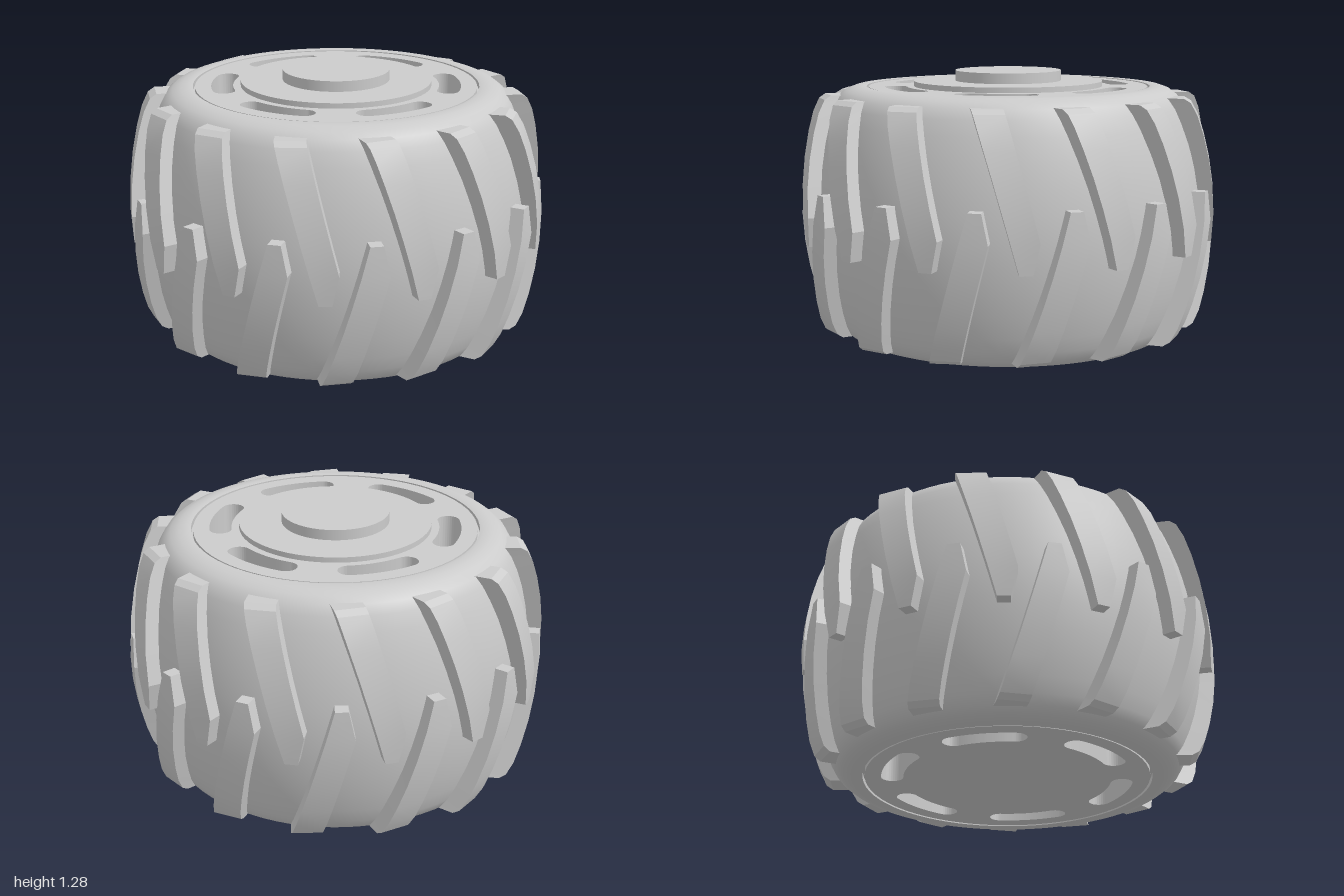
import * as THREE from 'three';
import { toCreasedNormals } from 'three/addons/utils/BufferGeometryUtils.js';

const HEIGHT = 1.21;
const LUGS = 14;
const material = new THREE.MeshStandardMaterial({ color: 0xcccccc });

function addMesh(parent, name, geometry) {
  const mesh = new THREE.Mesh(geometry, material);
  mesh.name = name;
  parent.add(mesh);
  return mesh;
}

// Upper half of the tyre wall, from the rim seat to the equator: [radius, y]
const wall = [
  [0.668, 1.18], [0.682, 1.18], [0.682, 1.207], [0.70, 1.21], [0.74, 1.206], [0.78, 1.192],
  [0.815, 1.165], [0.84, 1.12], [0.865, 1.05], [0.893, 0.95], [0.916, 0.83], [0.93, 0.71], [0.934, 0.605],
];

function tyreGeometry() {
  const lower = wall.map(([r, y]) => new THREE.Vector2(r, HEIGHT - y));
  const upper = wall.slice(0, -1).reverse().map(([r, y]) => new THREE.Vector2(r, y));
  return toCreasedNormals(new THREE.LatheGeometry([...lower, ...upper], 72), 0.7);
}

// Lug sections from its inner end to the shoulder: [y, left x, right x, outer z, root z]
const lugRows = [
  [0.47, -0.040, 0.020, 0.990, 0.89],
  [0.61, -0.079, 0.050, 0.998, 0.89],
  [0.75, -0.118, 0.014, 0.990, 0.88],
  [0.88, -0.154, -0.020, 0.971, 0.85],
  [1.00, -0.188, -0.051, 0.943, 0.81],
  [1.09, -0.213, -0.074, 0.914, 0.78],
  [1.15, -0.229, -0.090, 0.882, 0.75],
  [1.17, -0.235, -0.095, 0.850, 0.72],
];

function lugGeometry(flip) {
  const positions = [];
  const index = [];
  for (const [y, left, right, outer, root] of lugRows) {
    const h = flip ? HEIGHT - y : y;
    positions.push(left, h, outer, right, h, outer, right, h, root, left, h, root);
  }
  const quad = (a, b, c, d) => index.push(...(flip ? [a, c, b, a, d, c] : [a, b, c, a, c, d]));
  const last = (lugRows.length - 1) * 4;
  for (let row = 0; row < last; row += 4) {
    for (let k = 0; k < 4; k++) {
      const n = (k + 1) % 4;
      quad(row + k, row + n, row + 4 + n, row + 4 + k);
    }
  }
  quad(3, 2, 1, 0);
  quad(last, last + 1, last + 2, last + 3);
  const geometry = new THREE.BufferGeometry();
  geometry.setAttribute('position', new THREE.Float32BufferAttribute(positions, 3));
  geometry.setIndex(index);
  return toCreasedNormals(geometry, 0.35);
}

// Curved slot with round ends, centred on an angle
function slotPath(angle) {
  const mid = 0.543, half = 0.052, span = 0.26;
  const a = angle - span, b = angle + span;
  const path = new THREE.Path();
  path.absarc(0, 0, mid + half, a, b, false);
  path.absarc(mid * Math.cos(b), mid * Math.sin(b), half, b, b + Math.PI, false);
  path.absarc(0, 0, mid - half, b, a, true);
  path.absarc(mid * Math.cos(a), mid * Math.sin(a), half, a + Math.PI, a + 2 * Math.PI, false);
  return path;
}

// Wheel core with six slots running right through it
function coreGeometry() {
  const shape = new THREE.Shape();
  shape.absarc(0, 0, 0.672, 0, Math.PI * 2, false);
  for (let i = 0; i < 6; i++) shape.holes.push(slotPath(0.035 + i * Math.PI / 3));
  const geometry = new THREE.ExtrudeGeometry(shape, { depth: 1.2, bevelEnabled: false, curveSegments: 32 });
  geometry.rotateX(-Math.PI / 2);
  geometry.translate(0, 0.005, 0);
  return toCreasedNormals(geometry, 0.6);
}

export function createModel() {
  const wheel = new THREE.Group();
  wheel.name = 'wheel';

  addMesh(wheel, 'tyre', tyreGeometry());

  // Two interlocking rows of slanted lugs, half a pitch apart
  const tread = new THREE.Group();
  tread.name = 'tread';
  wheel.add(tread);
  const upperLug = lugGeometry(false);
  const lowerLug = lugGeometry(true);
  const pitch = Math.PI * 2 / LUGS;
  for (let i = 0; i < LUGS; i++) {
    addMesh(tread, 'upperLug', upperLug).rotation.y = i * pitch;
    addMesh(tread, 'lowerLug', lowerLug).rotation.y = (i + 0.5) * pitch;
  }

  // Hub: slotted core, raised plate and centre cap
  addMesh(wheel, 'wheelCore', coreGeometry());
  addMesh(wheel, 'hubPlate', new THREE.CylinderGeometry(0.455, 0.455, 0.03, 64)).position.y = 1.215;
  addMesh(wheel, 'hubCap', new THREE.CylinderGeometry(0.255, 0.255, 0.06, 48)).position.y = 1.25;

  return wheel;
}
